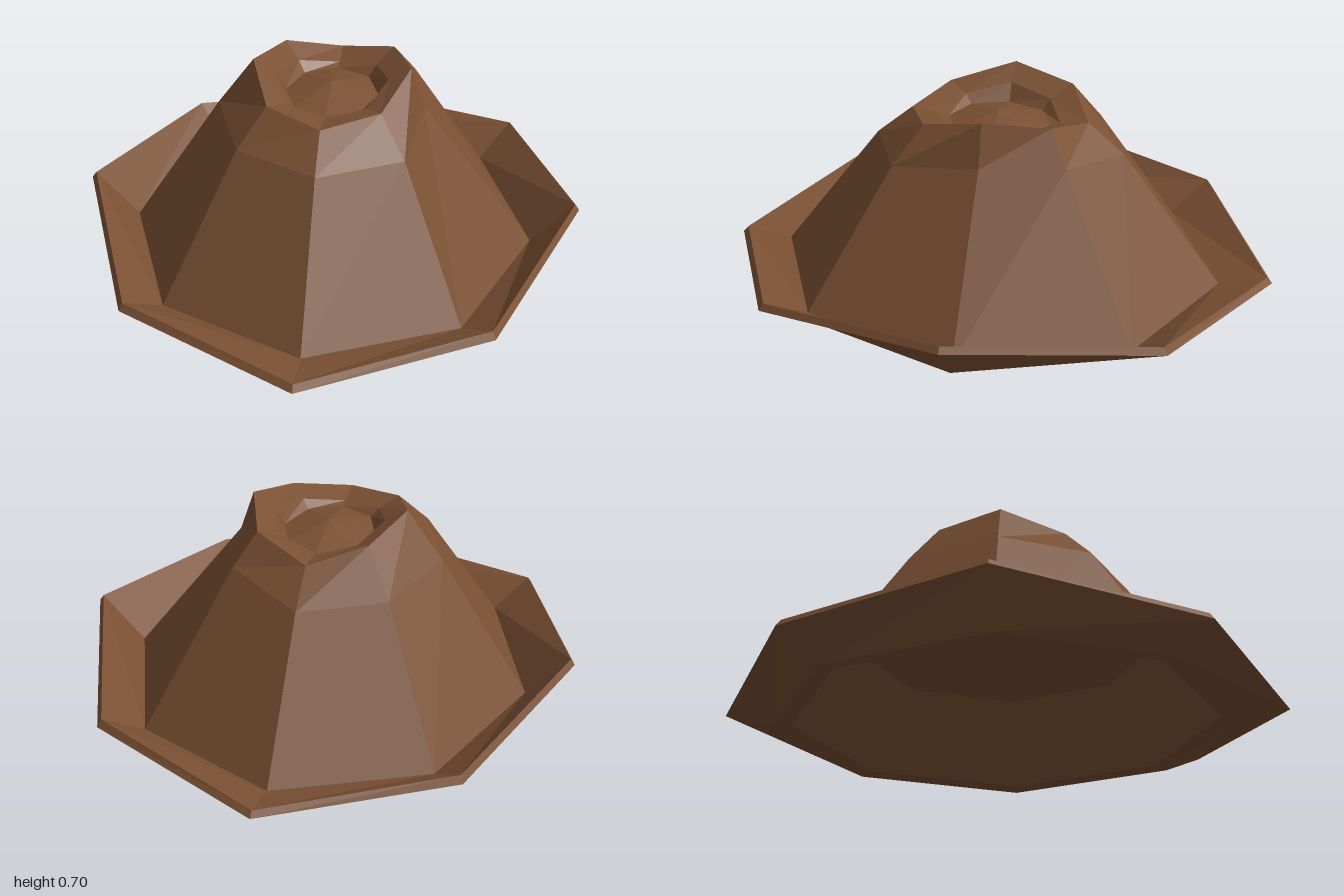
import * as THREE from 'three';

const SIDES = 8;
const mat = new THREE.MeshStandardMaterial({ color: 0x7a5033, flatShading: true });

// Elliptical ring of 8 points, starting at the front and turning towards +x.
// ys: heights at front, front diagonal, side, back diagonal, back (or one number).
function ring(rx, rz, ys) {
  const points = [];
  for (let i = 0; i < SIDES; i++) {
    const a = (i / SIDES) * Math.PI * 2;
    const y = Array.isArray(ys) ? ys[i <= 4 ? i : SIDES - i] : ys;
    points.push(new THREE.Vector3(Math.sin(a) * rx, y, Math.cos(a) * rz));
  }
  return points;
}

// Skin a sequence of rings, from the underside over the outside to the top.
function skin(name, rings) {
  const pos = [];
  const tri = (a, b, c) => {
    if (a.distanceTo(b) < 1e-5 || b.distanceTo(c) < 1e-5 || c.distanceTo(a) < 1e-5) return;
    pos.push(...a.toArray(), ...b.toArray(), ...c.toArray());
  };
  for (let r = 0; r < rings.length - 1; r++) {
    for (let i = 0; i < SIDES; i++) {
      const j = (i + 1) % SIDES;
      tri(rings[r][i], rings[r][j], rings[r + 1][j]);
      tri(rings[r][i], rings[r + 1][j], rings[r + 1][i]);
    }
  }
  const geo = new THREE.BufferGeometry();
  geo.setAttribute('position', new THREE.Float32BufferAttribute(pos, 3));
  geo.computeVertexNormals();
  const mesh = new THREE.Mesh(geo, mat);
  mesh.name = name;
  return mesh;
}

export function createModel() {
  const hat = new THREE.Group();
  hat.name = 'hat';

  const opening = ring(0.69, 0.76, 0.005);
  const crownBase = ring(0.73, 0.81, 0.02);
  const crownTop = ring(0.28, 0.32, [0.61, 0.638, 0.7, 0.667, 0.61]);

  // Shoulder of the crown, pinched in on the left side
  const shoulder = ring(0.41, 0.45, [0.5, 0.51, 0.52, 0.51, 0.5]);
  shoulder[2].set(0.33, 0.55, 0);
  shoulder[3].set(0.27, 0.55, -0.29);

  // Hollow inside for the head
  hat.add(skin('lining', [ring(0, 0, 0.27), ring(0.47, 0.52, 0.27), opening]));

  // Brim with a thin rim, curled up at the sides
  hat.add(skin('brim', [
    opening,
    ring(0.75, 0.82, 0),
    ring(0.9, 1, [0.022, 0.08, 0.165, 0.095, 0.045]),
    ring(0.885, 0.98, [0.045, 0.105, 0.187, 0.12, 0.065]),
    crownBase,
  ]));

  hat.add(skin('crown', [crownBase, shoulder, crownTop]));

  // Dent in the top of the crown with a slightly domed floor
  hat.add(skin('crownDent', [
    crownTop,
    ring(0.2, 0.22, [0.595, 0.615, 0.65, 0.625, 0.595]),
    ring(0.165, 0.185, 0.588),
    ring(0, 0, 0.632),
  ]));

  return hat;
}
